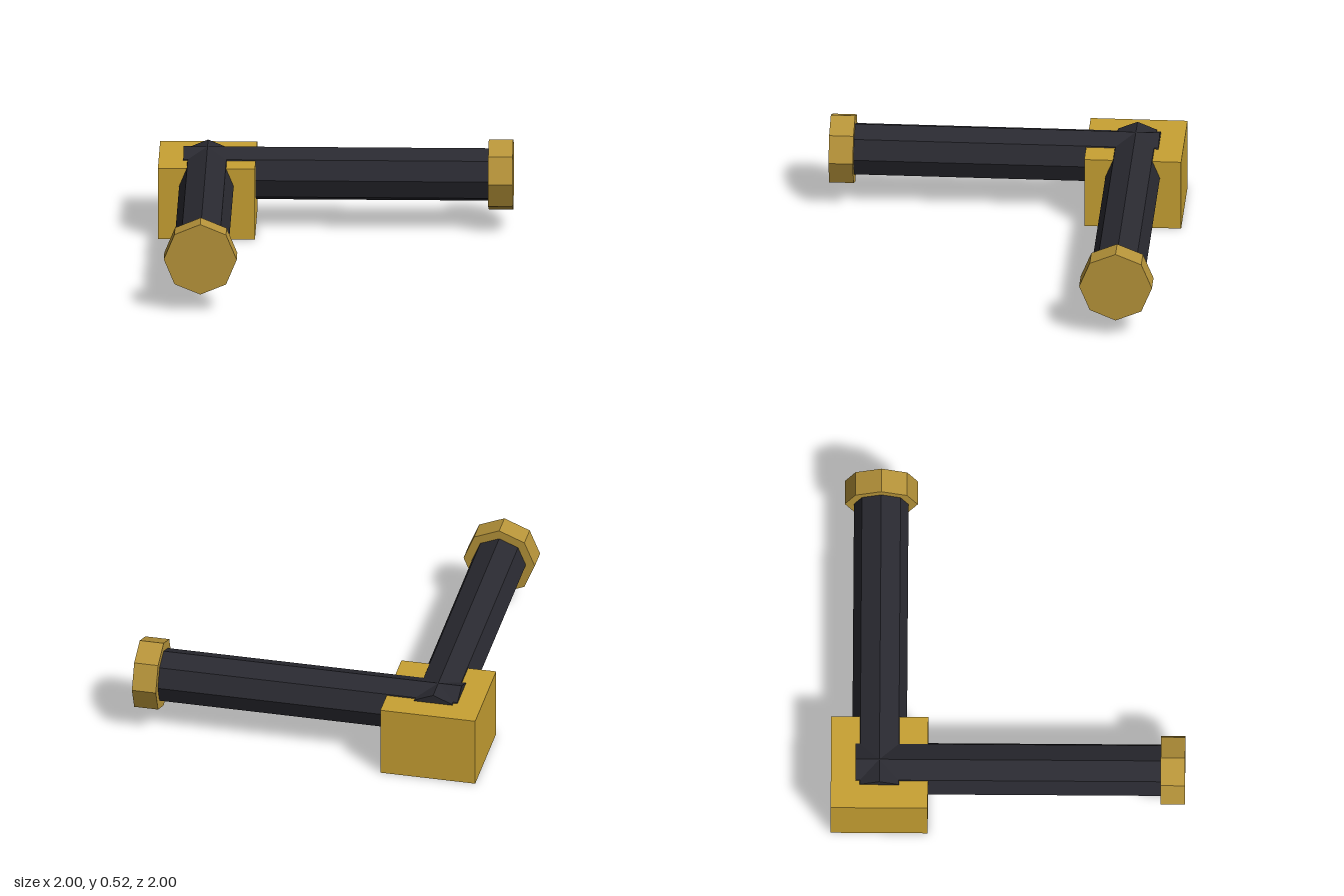
import * as THREE from 'three';

export function createModel() {
  const model = new THREE.Group();
  model.name = 'cornerPipe';

  const makeMaterial = (name, color) => {
    const m = new THREE.MeshStandardMaterial({ color, flatShading: true });
    m.name = name;
    return m;
  };
  const blockGold = makeMaterial('block gold', 0xc9a233);
  const capGold = makeMaterial('cap gold', 0xb8953a);
  const darkMetal = makeMaterial('dark metal', 0x2a2a31);

  const corner = -0.726; // shared x and z of the joint
  const axisY = 0.311;

  // Corner block the two pipes pass into
  const block = new THREE.Mesh(new THREE.BoxGeometry(0.548, 0.414, 0.548), blockGold);
  block.name = 'cornerBlock';
  block.position.set(corner, 0.207, corner);
  model.add(block);

  // Octagonal bar along x or z between two coordinates
  function bar(name, axis, radius, from, to, material) {
    const geometry = new THREE.CylinderGeometry(radius, radius, to - from, 8);
    if (axis === 'x') geometry.rotateZ(-Math.PI / 2);
    else geometry.rotateX(Math.PI / 2);
    const mesh = new THREE.Mesh(geometry, material);
    mesh.name = name;
    mesh.position.set(corner, axisY, corner);
    mesh.position[axis] = (from + to) / 2;
    model.add(mesh);
  }

  // Matching arms, each a pipe with an end cap
  for (const [axis, label] of [['x', 'side'], ['z', 'front']]) {
    bar(label + 'Pipe', axis, 0.154, -0.861, 0.9, darkMetal);
    bar(label + 'Cap', axis, 0.206, 0.862, 1, capGold);
  }

  return model;
}
